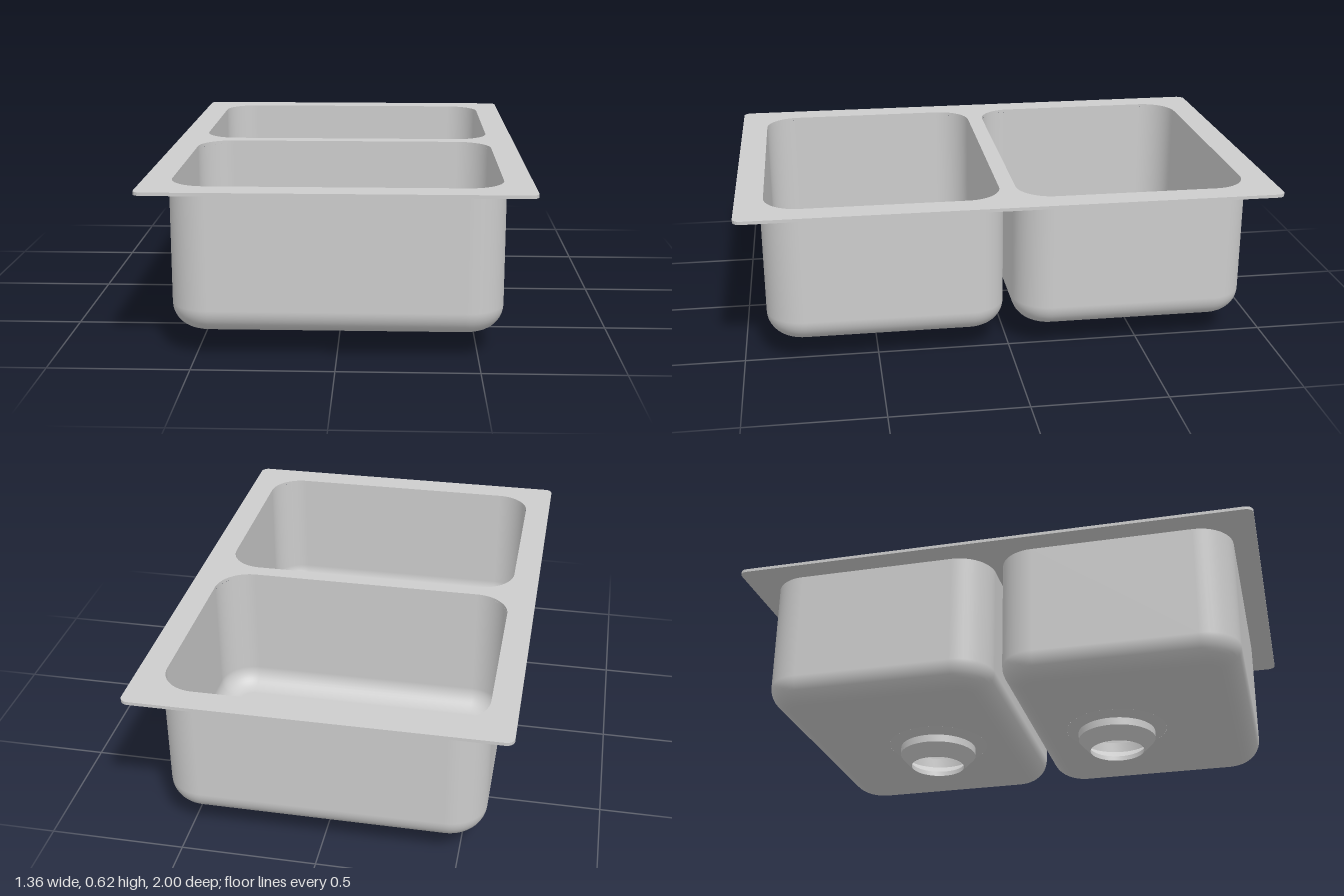
import * as THREE from 'three';
import { toCreasedNormals } from 'three/addons/utils/BufferGeometryUtils.js';

const steel = new THREE.MeshStandardMaterial({ color: 0xcccccc });
steel.name = 'brushed steel';

const RIM_TOP = 0.625, RIM_BOTTOM = 0.613;
const BASIN_Z = 0.464, DRAIN_Z = 0.372, DRAIN_R = 0.2;
const OUTER = { hw: 0.59, hd: 0.447, r: 0.14, fillet: 0.09, floor: 0.092 };
const INNER = { hw: 0.58, hd: 0.433, r: 0.13, fillet: 0.08, floor: 0.102 };

function part(name, geometry) {
  const mesh = new THREE.Mesh(geometry, steel);
  mesh.name = name;
  return mesh;
}

// Rounded rectangle, drawn on a Shape or on a Path used as a hole
function roundedRect(path, hw, hd, r, cy = 0) {
  const x = hw - r, y = hd - r, q = Math.PI / 2;
  path.moveTo(hw, cy - y);
  path.absarc(x, cy + y, r, 0, q);
  path.absarc(-x, cy + y, r, q, 2 * q);
  path.absarc(-x, cy - y, r, 2 * q, 3 * q);
  path.absarc(x, cy - y, r, 3 * q, 4 * q);
  path.closePath();
  return path;
}

// Straight walls rounding into the floor, lofted through rounded-rectangle rings
function wallGeometry({ hw, hd, r, fillet, floor }, inward) {
  const steps = 12, levels = 10, ring = 4 * (steps + 1);
  const pos = [], nor = [], idx = [], s = inward ? -1 : 1;
  for (let j = -1; j <= levels; j++) {
    const b = Math.max(j, 0) / levels * Math.PI / 2;
    const y = j < 0 ? RIM_BOTTOM : floor + fillet * (1 - Math.sin(b));
    const radius = r - fillet * (1 - Math.cos(b));
    for (let k = 0; k < 4; k++) {
      const cx = (k === 0 || k === 3 ? 1 : -1) * (hw - r);
      const cz = (k < 2 ? 1 : -1) * (hd - r);
      for (let i = 0; i <= steps; i++) {
        const a = (k + i / steps) * Math.PI / 2;
        pos.push(cx + radius * Math.cos(a), y, cz + radius * Math.sin(a));
        nor.push(s * Math.cos(a) * Math.cos(b), -s * Math.sin(b), s * Math.sin(a) * Math.cos(b));
      }
    }
  }
  for (let j = 0; j <= levels; j++) {
    for (let i = 0; i < ring; i++) {
      const a = j * ring + i, b = j * ring + (i + 1) % ring;
      const c = a + ring, d = b + ring;
      if (inward) idx.push(a, c, b, b, c, d);
      else idx.push(a, b, c, b, d, c);
    }
  }
  const g = new THREE.BufferGeometry();
  g.setAttribute('position', new THREE.Float32BufferAttribute(pos, 3));
  g.setAttribute('normal', new THREE.Float32BufferAttribute(nor, 3));
  g.setIndex(idx);
  return g;
}

// Flat floor with the round drain opening
function floorGeometry({ hw, hd, r, fillet, floor }, drainZ, up) {
  const shape = roundedRect(new THREE.Shape(), hw - fillet, hd - fillet, r - fillet);
  const hole = new THREE.Path();
  hole.absarc(0, up ? -drainZ : drainZ, DRAIN_R, 0, Math.PI * 2);
  shape.holes.push(hole);
  return new THREE.ShapeGeometry(shape, 48)
    .rotateX(up ? -Math.PI / 2 : Math.PI / 2)
    .translate(0, floor, 0);
}

// Drain: dished collar, short sleeve and tapered outlet, inside then outside
function drainGeometry() {
  const profile = [
    [DRAIN_R, INNER.floor], [0.139, 0.09], [0.139, 0.05], [0.11, 0.02], [0.107, 0],
    [0.109, 0], [0.153, 0.048], [0.153, 0.078], [DRAIN_R, OUTER.floor],
  ].map(([x, y]) => new THREE.Vector2(x, y));
  return toCreasedNormals(new THREE.LatheGeometry(profile, 48), 0.4);
}

// Rim plate with the two basin openings
function rimGeometry() {
  const shape = roundedRect(new THREE.Shape(), 0.68, 1, 0.03);
  for (const side of [1, -1]) {
    shape.holes.push(roundedRect(new THREE.Path(), INNER.hw, INNER.hd, INNER.r, side * BASIN_Z));
  }
  const g = new THREE.ExtrudeGeometry(shape, {
    depth: RIM_TOP - RIM_BOTTOM, bevelEnabled: false, curveSegments: 12,
  });
  return toCreasedNormals(g.rotateX(-Math.PI / 2).translate(0, RIM_BOTTOM, 0), 0.6);
}

function createBasin(side) {
  const basin = new THREE.Group();
  basin.name = side > 0 ? 'frontBasin' : 'backBasin';
  const drainZ = side * (DRAIN_Z - BASIN_Z);
  const drain = part('drain', drainGeometry());
  drain.position.z = drainZ;
  basin.add(
    part('outerWall', wallGeometry(OUTER, false)),
    part('innerWall', wallGeometry(INNER, true)),
    part('underside', floorGeometry(OUTER, drainZ, false)),
    part('basinFloor', floorGeometry(INNER, drainZ, true)),
    drain,
  );
  basin.position.z = side * BASIN_Z;
  return basin;
}

export function createModel() {
  const sink = new THREE.Group();
  sink.name = 'doubleSink';
  sink.add(part('rim', rimGeometry()), createBasin(1), createBasin(-1));
  return sink;
}
